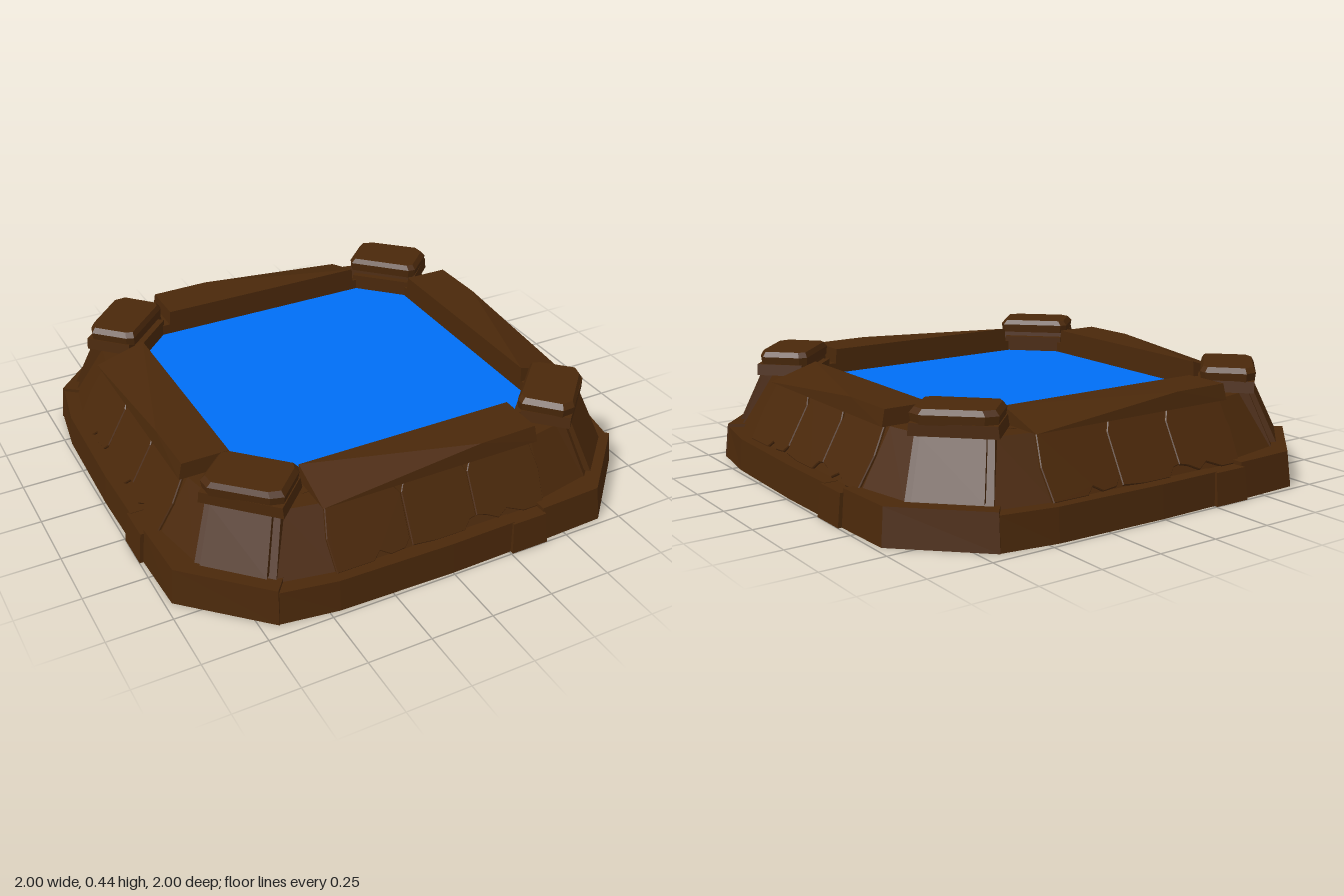
import * as THREE from 'three';

const stone = new THREE.MeshStandardMaterial({ color: 0x4a280a, flatShading: true });
const blue = new THREE.MeshStandardMaterial({ color: 0x006ef5 });

// Closed block between two [x, z] outlines at heights y0 and y1
function loft(name, low, y0, high, y1) {
  const flat = low.map(([x, z]) => new THREE.Vector2(x, z));
  if (THREE.ShapeUtils.area(flat) < 0) {
    flat.reverse();
    low = [...low].reverse();
    high = [...high].reverse();
  }
  const n = low.length, pos = [], idx = [];
  low.forEach(([x, z]) => pos.push(x, y0, z));
  high.forEach(([x, z]) => pos.push(x, y1, z));
  for (let i = 0; i < n; i++) {
    const j = (i + 1) % n;
    idx.push(i, n + i, n + j, i, n + j, j);
  }
  for (const [a, b, c] of THREE.ShapeUtils.triangulateShape(flat, [])) {
    idx.push(a, b, c, n + a, n + c, n + b);
  }
  const indexed = new THREE.BufferGeometry();
  indexed.setAttribute('position', new THREE.Float32BufferAttribute(pos, 3));
  indexed.setIndex(idx);
  const geo = indexed.toNonIndexed();
  geo.computeVertexNormals();
  const mesh = new THREE.Mesh(geo, stone);
  mesh.name = name;
  return mesh;
}

// Rectangle outline
const rect = (x0, x1, z0, z1) => [[x0, z0], [x1, z0], [x1, z1], [x0, z1]];

// Octagonal sheet
function octagon(name, half, cut, y, material) {
  const shape = new THREE.Shape([
    [-cut, -half], [cut, -half], [half, -cut], [half, cut],
    [cut, half], [-cut, half], [-half, cut], [-half, -cut],
  ].map(([x, z]) => new THREE.Vector2(x, z)));
  const mesh = new THREE.Mesh(new THREE.ShapeGeometry(shape), material);
  mesh.rotation.x = -Math.PI / 2;
  mesh.position.y = y;
  mesh.name = name;
  return mesh;
}

// Ragged facing stones, drawn flat and leaned against the sloping wall
const facings = [
  [[-0.45, -0.01], [-0.3, -0.01], [-0.27, 0.02], [-0.23, -0.005], [-0.17, 0.0], [-0.145, 0.03],
    [-0.142, 0.2], [-0.17, 0.24], [-0.44, 0.24], [-0.46, 0.12]],
  [[-0.14, 0.0], [-0.04, -0.01], [0.08, -0.01], [0.11, 0.025], [0.137, 0.03],
    [0.137, 0.2], [0.12, 0.24], [-0.12, 0.24], [-0.139, 0.2]],
  [[0.14, 0.03], [0.18, 0.02], [0.23, -0.005], [0.27, 0.02], [0.34, -0.01], [0.43, -0.01],
    [0.44, 0.13], [0.42, 0.24], [0.16, 0.24], [0.14, 0.2]],
];

function createSide() {
  const side = new THREE.Group();
  side.name = 'side';

  // Base course, undercut towards its outer edge: long bowed block, small proud block, corner block
  side.add(loft('baseLong',
    [[-0.69, 0.945], [-0.46, 0.98], [0, 0.99], [0.27, 0.985], [0.27, 0.965], [0, 0.97], [-0.46, 0.96], [-0.68, 0.925]], 0,
    [[-0.68, 0.93], [-0.46, 0.97], [0, 0.98], [0.27, 0.975], [0.27, 0.86], [0, 0.86], [-0.46, 0.86], [-0.62, 0.84]], 0.127));
  side.add(loft('baseSmall', rect(0.255, 0.41, 0.96, 1), 0, rect(0.26, 0.405, 0.86, 0.985), 0.125));
  side.add(loft('baseCorner',
    [[0.4, 0.985], [0.67, 0.975], [0.95, 0.685], [0.935, 0.67], [0.66, 0.955], [0.4, 0.965]], 0,
    [[0.4, 0.97], [0.66, 0.96], [0.935, 0.68], [0.86, 0.62], [0.62, 0.86], [0.4, 0.86]], 0.14));

  // Leaning wall
  side.add(loft('wall',
    [[-0.67, 0.88], [-0.44, 0.925], [0.44, 0.925], [0.67, 0.88], [0.53, 0.7], [-0.53, 0.7]], 0.12,
    [[-0.59, 0.77], [-0.44, 0.8], [0.44, 0.8], [0.59, 0.77], [0.53, 0.7], [-0.53, 0.7]], 0.346));
  for (const outline of facings) {
    const shape = new THREE.Shape(outline.map(([u, v]) => new THREE.Vector2(u, v)));
    const geo = new THREE.ExtrudeGeometry(shape, {
      depth: 0.008, bevelEnabled: true, bevelSegments: 1,
      bevelSize: 0.003, bevelOffset: -0.003, bevelThickness: 0.004,
    });
    const slab = new THREE.Mesh(geo, stone);
    slab.name = 'facingStone';
    slab.position.set(0, 0.13, 0.918);
    slab.rotation.x = -0.505;
    side.add(slab);
  }

  // Rim stone and the inner face below it
  side.add(loft('rim', rect(-0.455, 0.445, 0.635, 0.835), 0.348,
    [[-0.45, 0.635], [0.44, 0.635], [0.44, 0.82], [0.2, 0.825], [-0.2, 0.825], [-0.45, 0.82]], 0.41));
  side.add(loft('rimFoot', rect(-0.48, 0.48, 0.64, 0.72), 0.24, rect(-0.48, 0.48, 0.64, 0.72), 0.348));
  return side;
}

// Corner pier, built facing +z
function createCorner() {
  const corner = new THREE.Group();
  corner.name = 'corner';
  corner.add(loft('pier', rect(-0.155, 0.155, 0.87, 1.095), 0.12, rect(-0.14, 0.14, 0.83, 0.985), 0.36));
  corner.add(loft('pierPanel', rect(-0.125, 0.125, 1.0, 1.105), 0.15, rect(-0.115, 0.115, 0.9, 1.01), 0.35));
  corner.add(loft('cornerCurb', rect(-0.13, 0.13, 0.79, 0.94), 0.24, rect(-0.13, 0.13, 0.79, 0.94), 0.37));
  corner.add(loft('capSlab', rect(-0.16, 0.16, 0.815, 1.01), 0.35, rect(-0.155, 0.155, 0.82, 1.01), 0.395));
  const cap = (s) => [[-0.155, 0.82], [-0.13, 0.8], [0.14, 0.8], [0.155, 0.83], [0.155, 0.985],
    [0.11, 1.01], [-0.12, 1.015], [-0.16, 0.98]].map(([x, z]) => [x * s, 0.91 + (z - 0.91) * s]);
  corner.add(loft('capLower', cap(0.97), 0.39, cap(1), 0.425));
  corner.add(loft('capUpper', cap(1), 0.425, cap(0.9), 0.445));
  return corner;
}

export function createModel() {
  const model = new THREE.Group();
  model.name = 'pool';
  for (let i = 0; i < 4; i++) {
    const side = createSide();
    side.rotation.y = i * Math.PI / 2;
    const corner = createCorner();
    corner.rotation.y = (i + 0.5) * Math.PI / 2;
    model.add(side, corner);
  }

  // Water over a stone floor
  model.add(octagon('water', 0.66, 0.49, 0.305, blue));
  const floorStone = stone.clone();
  floorStone.side = THREE.DoubleSide;
  model.add(octagon('floor', 0.71, 0.53, 0.23, floorStone));
  return model;
}
